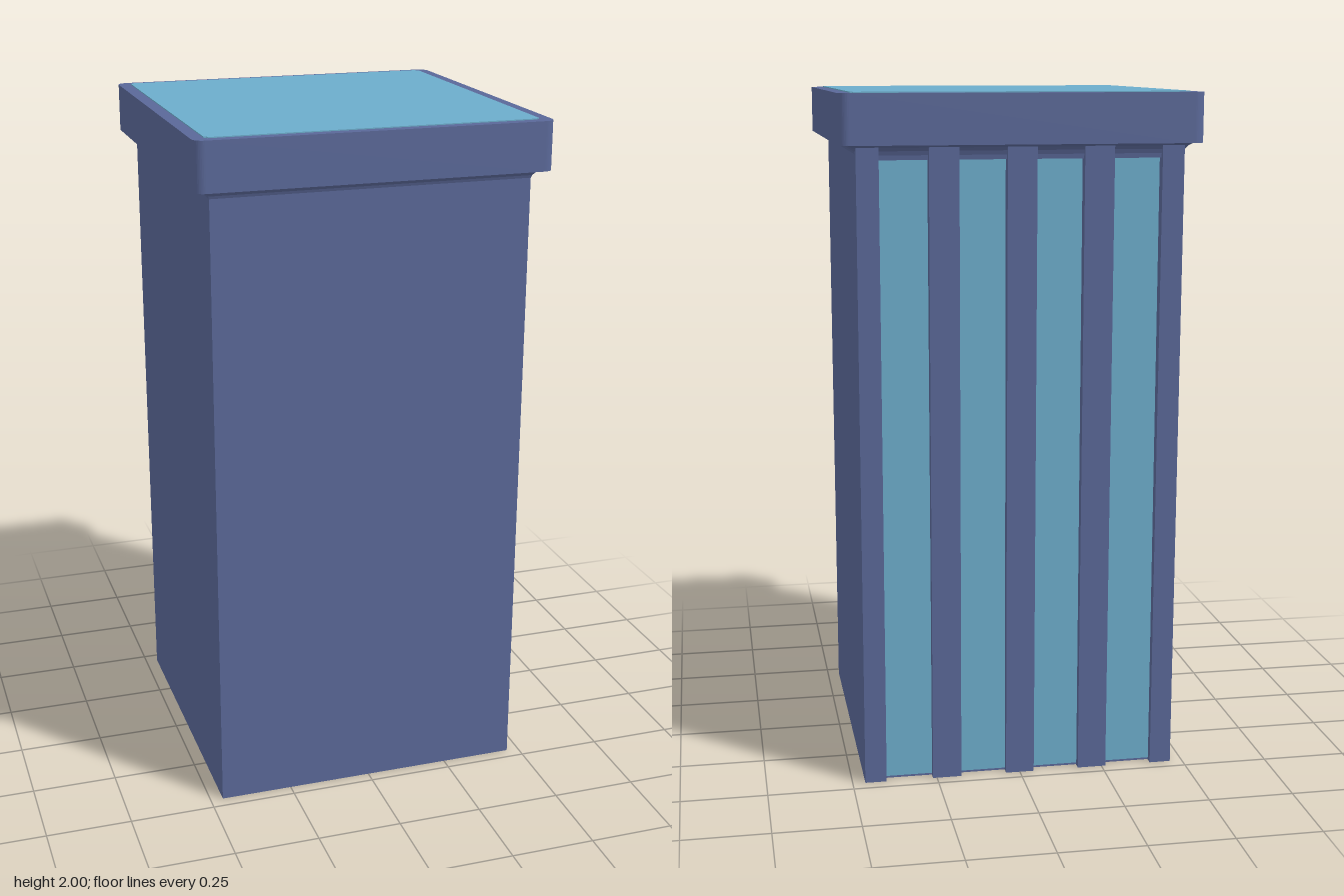
import * as THREE from 'three';

export function createModel() {
  const group = new THREE.Group();
  const navy = new THREE.MeshStandardMaterial({ color: 0x5a6898 });
  navy.name = 'slate blue';
  const cyan = new THREE.MeshStandardMaterial({ color: 0x6caccb });
  cyan.name = 'light blue';

  const HALF = 0.463, CAP_Y = 1.857, FLOOR_Z = -0.438;

  const add = (name, geometry, material, x = 0, y = 0, z = 0) => {
    const mesh = new THREE.Mesh(geometry, material);
    mesh.name = name;
    mesh.position.set(x, y, z);
    group.add(mesh);
    return mesh;
  };

  // Solid column, its back set in to form the groove floor
  const depth = HALF - FLOOR_Z;
  add('column', new THREE.BoxGeometry(HALF * 2, CAP_Y, depth), navy, 0, CAP_Y / 2, HALF - depth / 2);

  // Back ribs, leaning out slightly towards the top
  const ribProfile = new THREE.Shape([
    new THREE.Vector2(-FLOOR_Z, 0), new THREE.Vector2(HALF, 0),
    new THREE.Vector2(0.475, CAP_Y), new THREE.Vector2(-FLOOR_Z, CAP_Y),
  ]);
  const ribs = [[-HALF, -0.4], [-0.262, -0.177], [-0.042, 0.042], [0.177, 0.262], [0.4, HALF]];
  ribs.forEach(([x0, x1]) => {
    const rib = new THREE.ExtrudeGeometry(ribProfile, { depth: x1 - x0, bevelEnabled: false });
    rib.rotateY(Math.PI / 2);
    add('backRib', rib, navy, x0);
  });

  // Coloured strips on the groove floors between the ribs
  for (let i = 0; i < 4; i++) {
    const x0 = ribs[i][1], x1 = ribs[i + 1][0];
    add('backStrip', new THREE.BoxGeometry(x1 - x0, 1.835, 0.004), cyan, (x0 + x1) / 2, 0.925, FLOOR_Z - 0.002);
  }

  // Small hollow moulding under the cap
  const coveProfile = [];
  for (let i = 0; i <= 5; i++) {
    const a = (i / 5) * Math.PI / 2;
    coveProfile.push(new THREE.Vector2(
      (0.46 + 0.032 * (1 - Math.cos(a))) * Math.SQRT2,
      1.815 + (CAP_Y - 1.815) * Math.sin(a)));
  }
  const cove = new THREE.LatheGeometry(coveProfile, 4, Math.PI / 4).toNonIndexed();
  cove.computeVertexNormals();
  add('cove', cove, navy);

  // Cap with rounded vertical corners
  const h = 0.512, r = 0.03;
  const capShape = new THREE.Shape();
  capShape.absarc(h - r, h - r, r, 0, Math.PI / 2);
  capShape.absarc(-h + r, h - r, r, Math.PI / 2, Math.PI);
  capShape.absarc(-h + r, -h + r, r, Math.PI, Math.PI * 1.5);
  capShape.absarc(h - r, -h + r, r, Math.PI * 1.5, Math.PI * 2);
  const cap = new THREE.ExtrudeGeometry(capShape, { depth: 1.997 - CAP_Y, bevelEnabled: false, curveSegments: 5 });
  cap.rotateX(-Math.PI / 2);
  add('cap', cap, navy, 0, CAP_Y);

  // Top panel with tiny notched corners
  const px = 0.476, pz = 0.481, n = 0.008;
  const panelShape = new THREE.Shape([
    [px, -pz + n], [px, pz - n], [px - n, pz - n], [px - n, pz],
    [-px + n, pz], [-px + n, pz - n], [-px, pz - n], [-px, -pz + n],
    [-px + n, -pz + n], [-px + n, -pz], [px - n, -pz], [px - n, -pz + n],
  ].map(([x, y]) => new THREE.Vector2(x, y)));
  const panel = new THREE.ExtrudeGeometry(panelShape, { depth: 0.003, bevelEnabled: false });
  panel.rotateX(-Math.PI / 2);
  add('topPanel', panel, cyan, 0, 1.997);

  return group;
}
